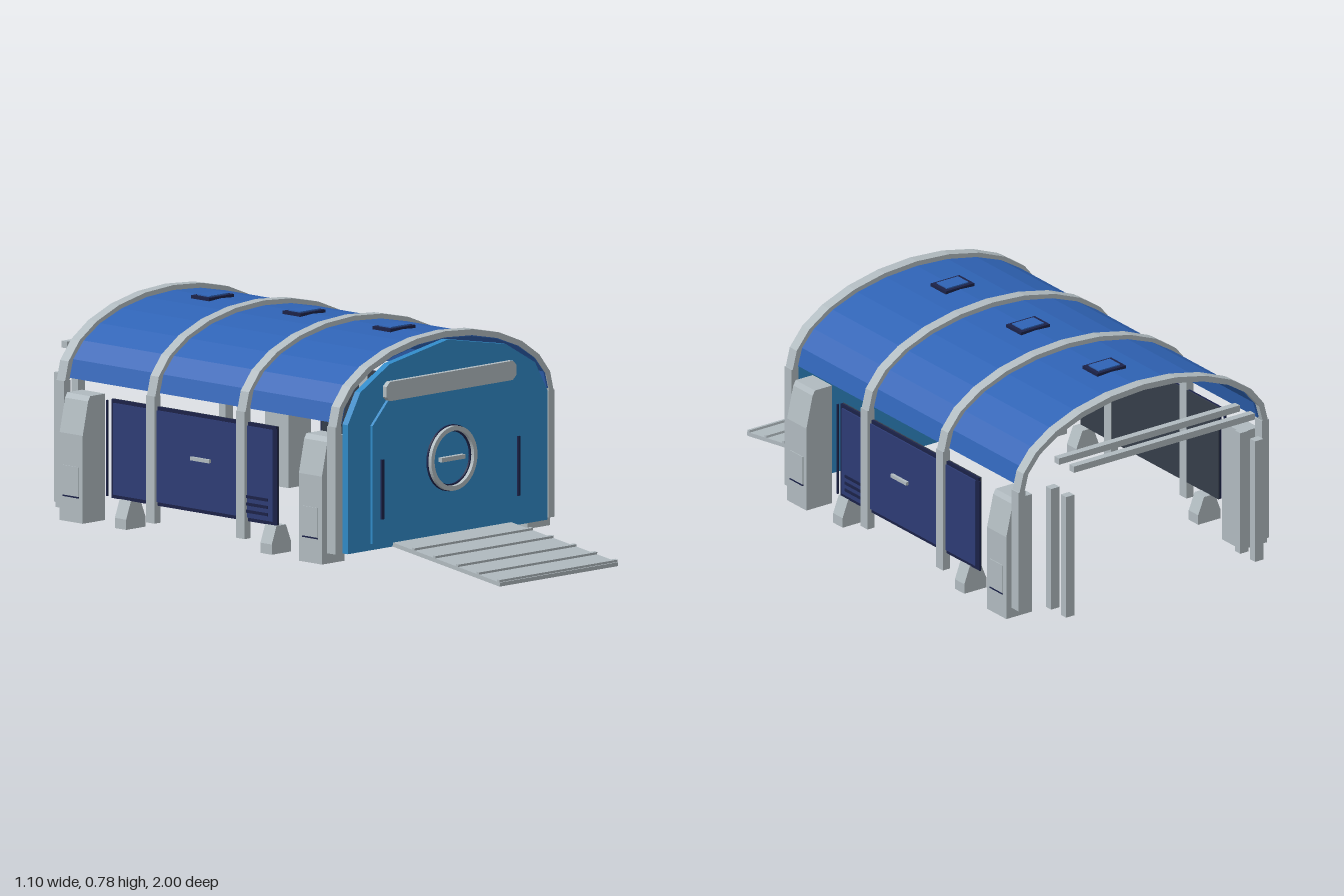
import * as THREE from 'three';

const mat = (name, color) => {
  const m = new THREE.MeshStandardMaterial({ color });
  m.name = name;
  return m;
};

export function createModel() {
  const root = new THREE.Group();
  root.name = 'shelter';
  const grey = mat('light grey', 0xb0babf);
  const frontBlue = mat('front blue', 0x3089c6);
  const roofBlue = mat('roof blue', 0x2f63b5);
  const navy = mat('navy', 0x2d3b74);
  const dark = mat('dark navy', 0x1b2248);
  const slate = mat('slate', 0x353d49);

  const add = (name, geometry, material) => {
    const m = new THREE.Mesh(geometry, material);
    m.name = name;
    root.add(m);
    return m;
  };
  // Box given by its limits on each axis
  const box = (name, material, x0, x1, y0, y1, z0, z1) => {
    const m = add(name, new THREE.BoxGeometry(Math.abs(x1 - x0), y1 - y0, Math.abs(z1 - z0)), material);
    m.position.set((x0 + x1) / 2, (y0 + y1) / 2, (z0 + z1) / 2);
    return m;
  };
  // Polygon in xy pushed from z0 to z1
  const slab = (name, material, pts, z0, z1, holes = []) => {
    const shape = new THREE.Shape(pts.map(([x, y]) => new THREE.Vector2(x, y)));
    shape.holes.push(...holes);
    const g = new THREE.ExtrudeGeometry(shape, { depth: z1 - z0, bevelEnabled: false, curveSegments: 32 });
    g.translate(0, 0, z0);
    return add(name, g, material);
  };
  const mirrored = (half) => [...half, ...half.slice().reverse().filter(([x]) => x !== 0).map(([x, y]) => [-x, y])];
  const arc = (a, b, cy, n = 12) => Array.from({ length: n + 1 }, (_, i) => {
    const t = (Math.PI * i) / n;
    return [a * Math.cos(t), cy + b * Math.sin(t)];
  });
  const arch = (name, material, a, b, cy, t, z0, z1) =>
    slab(name, material, [...arc(a, b, cy), ...arc(a - t, b - t, cy).reverse()], z0, z1);

  // Roof shell and hatches
  arch('roof', roofBlue, 0.5, 0.24, 0.52, 0.008, -0.86, 0.45);
  for (const z of [-0.655, -0.22, 0.21]) {
    box('hatchFrame', dark, -0.06, 0.06, 0.745, 0.767, z - 0.043, z + 0.043);
    box('hatchLid', roofBlue, -0.045, 0.045, 0.76, 0.771, z - 0.03, z + 0.03);
  }

  // Ribs with straight legs
  for (const z of [0.433, 0, -0.43, -0.86]) {
    arch('ribArch', grey, 0.523, 0.27, 0.507, 0.021, z - 0.02, z + 0.02);
    for (const s of [-1, 1]) box('ribLeg', grey, s * 0.497, s * 0.527, 0.075, 0.512, z - 0.02, z + 0.02);
  }

  // Front wall and door
  slab('frontWall', frontBlue, mirrored([[0.48, 0.072], [0.48, 0.515], [0.42, 0.62], [0.28, 0.7], [0, 0.75]]), 0.44, 0.466);
  slab('door', frontBlue, mirrored([[0.372, 0.095], [0.372, 0.5], [0.295, 0.58]]), 0.466, 0.477);
  slab('doorHeader', grey, mirrored([[0.295, 0.577], [0.312, 0.592], [0.312, 0.628], [0.295, 0.643]]), 0.466, 0.484);
  for (const s of [-1, 1]) box('doorSlot', dark, s * 0.322, s * 0.333, 0.175, 0.38, 0.474, 0.483);

  // Round hatch ring with bar handle
  const ring = (name, material, r, inner, z1) => {
    const shape = new THREE.Shape().absarc(0, 0, r, 0, Math.PI * 2);
    shape.holes.push(new THREE.Path().absarc(0, 0, inner, 0, Math.PI * 2, true));
    const g = new THREE.ExtrudeGeometry(shape, { depth: z1 - 0.474, bevelEnabled: false, curveSegments: 32 });
    g.translate(0, 0.346, 0.474);
    add(name, g, material);
  };
  ring('ringTrim', dark, 0.114, 0.09, 0.484);
  ring('ring', grey, 0.111, 0.095, 0.498);
  box('doorHandle', grey, -0.056, 0.056, 0.338, 0.353, 0.474, 0.495);

  // Ramp with cleats
  const ramp = new THREE.Group();
  ramp.name = 'ramp';
  const slope = Math.atan2(0.075, 0.51);
  const len = Math.hypot(0.075, 0.51);
  const deck = new THREE.Mesh(new THREE.BoxGeometry(0.568, 0.014, len), grey);
  deck.name = 'rampDeck';
  ramp.add(deck);
  for (const z of [-0.16, -0.06, 0.05, 0.15, 0.248]) {
    const cleat = new THREE.Mesh(new THREE.BoxGeometry(0.568, 0.009, 0.012), grey);
    cleat.name = 'rampCleat';
    cleat.position.set(0, 0.0105, z);
    ramp.add(cleat);
  }
  ramp.position.set(0, 0.046, 0.741);
  ramp.rotation.x = slope;
  root.add(ramp);

  for (const s of [-1, 1]) {
    // Side panel: slate lining, dark frame, navy face
    box('panelLining', slate, s * 0.498, s * 0.503, 0.135, 0.475, -0.63, 0.155);
    box('panelFrame', dark, s * 0.503, s * 0.511, 0.135, 0.475, -0.63, 0.155);
    box('panelFace', navy, s * 0.508, s * 0.516, 0.148, 0.463, -0.617, 0.142);
    box('panelHandle', grey, s * 0.514, s * 0.527, 0.314, 0.326, -0.24, -0.15);
    for (const y of [0.17, 0.195, 0.22]) box('vent', dark, s * 0.514, s * 0.519, y - 0.005, y + 0.005, 0.02, 0.122);
    for (const z of [0.165, -0.645]) box('panelEdge', dark, s * 0.512, s * 0.519, 0.14, 0.47, z - 0.003, z + 0.003);

    // Wedge feet beneath the panel
    const foot = [[0.47, 0.136], [0.515, 0.136], [0.538, 0.075], [0.538, 0.04], [0.445, 0.04], [0.445, 0.075]].map(([x, y]) => [s * x, y]);
    for (const z of [0.134, -0.56]) slab('foot', grey, foot, z - 0.027, z + 0.027);

    // Tapered corner housings with a service plate
    const corner = [[0.44, 0.038], [0.548, 0.038], [0.548, 0.34], [0.522, 0.455], [0.512, 0.472], [0.44, 0.472]].map(([x, y]) => [s * x, y]);
    for (const z of [0.355, -0.785]) {
      slab('cornerHousing', grey, corner, z - 0.055, z + 0.055);
      box('servicePlate', grey, s * 0.546, s * 0.551, 0.125, 0.23, z - 0.037, z + 0.037);
      box('serviceSlot', dark, s * 0.546, s * 0.552, 0.123, 0.128, z - 0.037, z + 0.037);
    }

    // Rear posts
    for (const z of [-0.9, -0.985]) box('rearPost', grey, s * 0.38, s * 0.415, 0.065, 0.51, z - 0.015, z + 0.015);
  }

  // Rear cross bars
  for (const z of [-0.9, -0.985]) box('rearBar', grey, -0.38, 0.38, 0.59, 0.613, z - 0.013, z + 0.013);

  return root;
}
